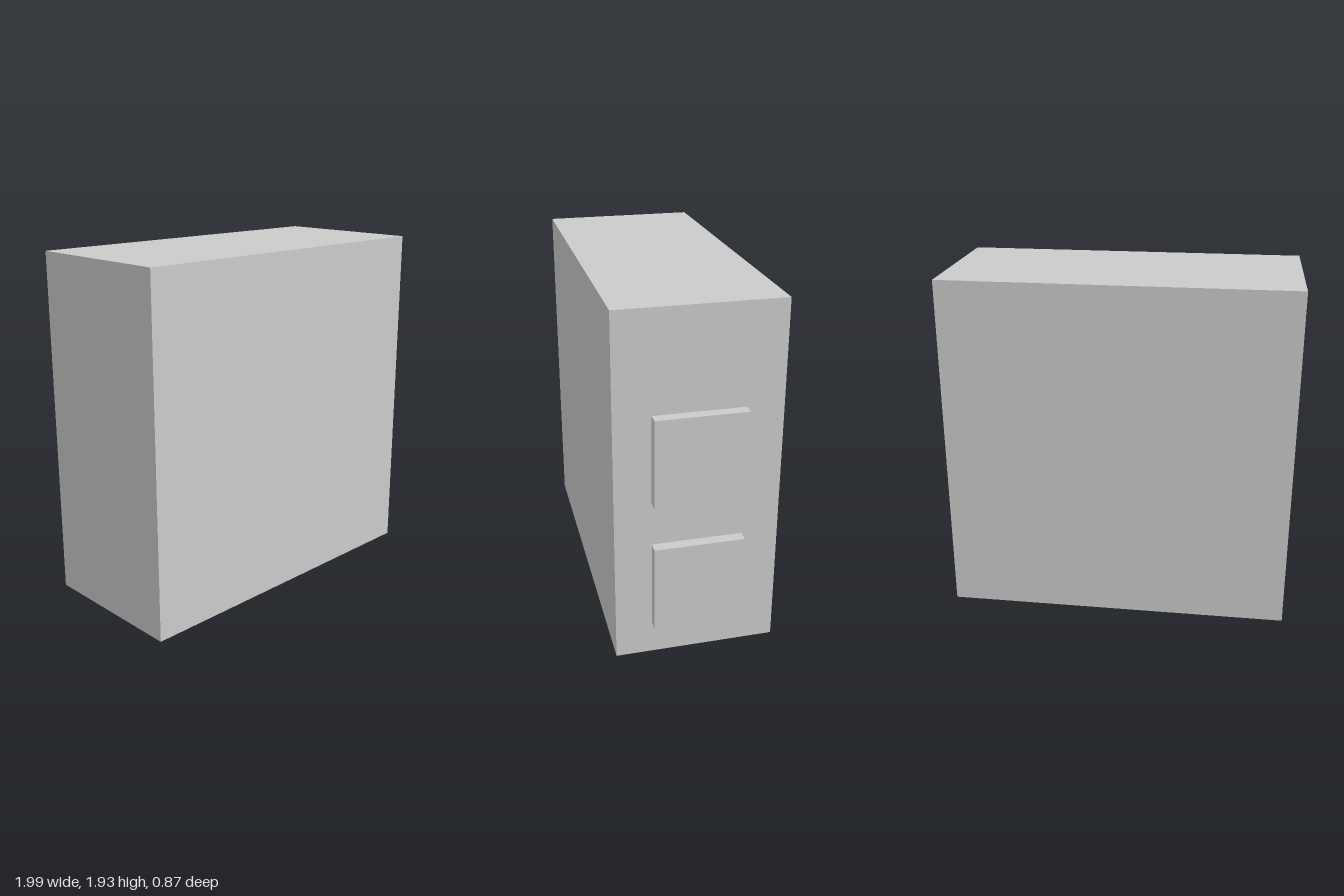
import * as THREE from 'three';

export function createModel() {
  const model = new THREE.Group();
  const material = new THREE.MeshStandardMaterial({ color: 0xcccccc, flatShading: true });

  // Box given by its minimum and maximum corners
  function addBox(name, [x0, y0, z0], [x1, y1, z1]) {
    const mesh = new THREE.Mesh(new THREE.BoxGeometry(x1 - x0, y1 - y0, z1 - z0), material);
    mesh.position.set((x0 + x1) / 2, (y0 + y1) / 2, (z0 + z1) / 2);
    mesh.name = name;
    model.add(mesh);
  }

  // Main cabinet body
  addBox('cabinet', [-1, 0, -0.435], [0.93, 1.935, 0.435]);

  // Two raised square panels on the left (+x) side
  const panels = { lowerPanel: 0.19, upperPanel: 0.91 };
  for (const [name, y] of Object.entries(panels)) {
    addBox(name, [0.93, y, -0.24], [0.99, y + 0.483, 0.24]);
  }

  return model;
}
